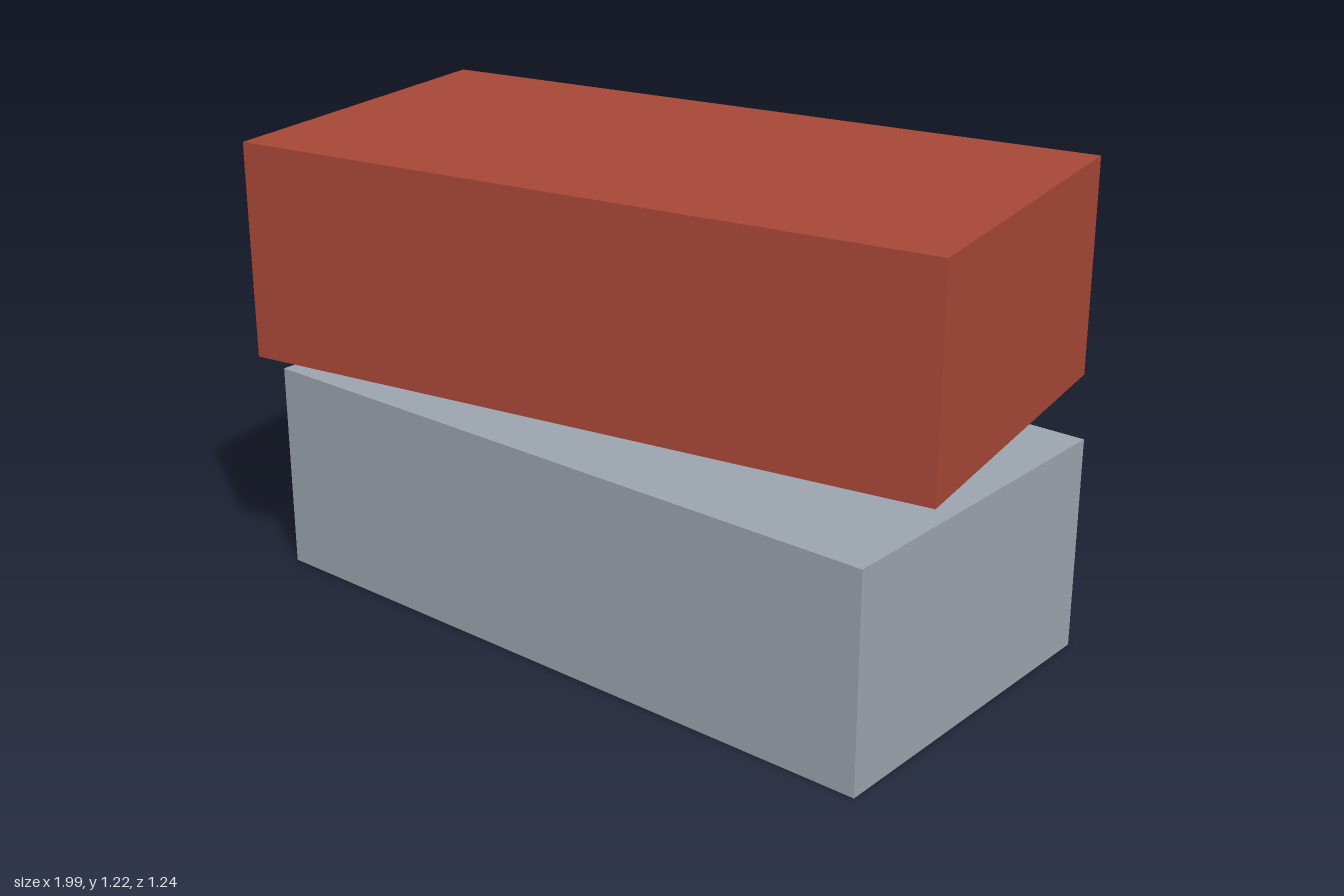
import * as THREE from 'three';

const LENGTH = 1.86, DEPTH = 0.93, HEIGHT = 0.56, WALL = 0.07;

// Rectangle of four corners at height y, shrunk inward by inset
function ring(y, inset) {
  const w = LENGTH / 2 - inset, d = DEPTH / 2 - inset;
  return [[w, y, d], [w, y, -d], [-w, y, -d], [-w, y, d]];
}

// Hollow box, open underneath: outer walls, bottom rim, inner walls, lid and ceiling
function openBoxGeometry() {
  const rings = [ring(HEIGHT, 0), ring(0, 0), ring(0, WALL), ring(HEIGHT - WALL, WALL)];
  const points = [];
  const quad = (a, b, c, d) => points.push(...a, ...b, ...c, ...a, ...c, ...d);

  quad(...rings[0]);
  for (let r = 0; r < 3; r++) {
    for (let i = 0; i < 4; i++) {
      const j = (i + 1) % 4;
      quad(rings[r][i], rings[r + 1][i], rings[r + 1][j], rings[r][j]);
    }
  }
  quad(...rings[3].slice().reverse());

  const geometry = new THREE.BufferGeometry();
  geometry.setAttribute('position', new THREE.Float32BufferAttribute(points, 3));
  geometry.computeVertexNormals();
  return geometry;
}

export function createModel() {
  const group = new THREE.Group();
  const geometry = openBoxGeometry();

  const grey = new THREE.MeshStandardMaterial({ color: 0x9aa3ac });
  grey.name = 'slate grey';
  const red = new THREE.MeshStandardMaterial({ color: 0xa64736 });
  red.name = 'brick red';

  // Lower box, square to the axes
  const lowerBox = new THREE.Mesh(geometry, grey);
  lowerBox.name = 'lowerBox';

  // Upper box, floating above and turned slightly
  const upperBox = new THREE.Mesh(geometry, red);
  upperBox.name = 'upperBox';
  upperBox.position.y = 0.66;
  upperBox.rotation.y = THREE.MathUtils.degToRad(10);

  group.add(lowerBox, upperBox);
  return group;
}
